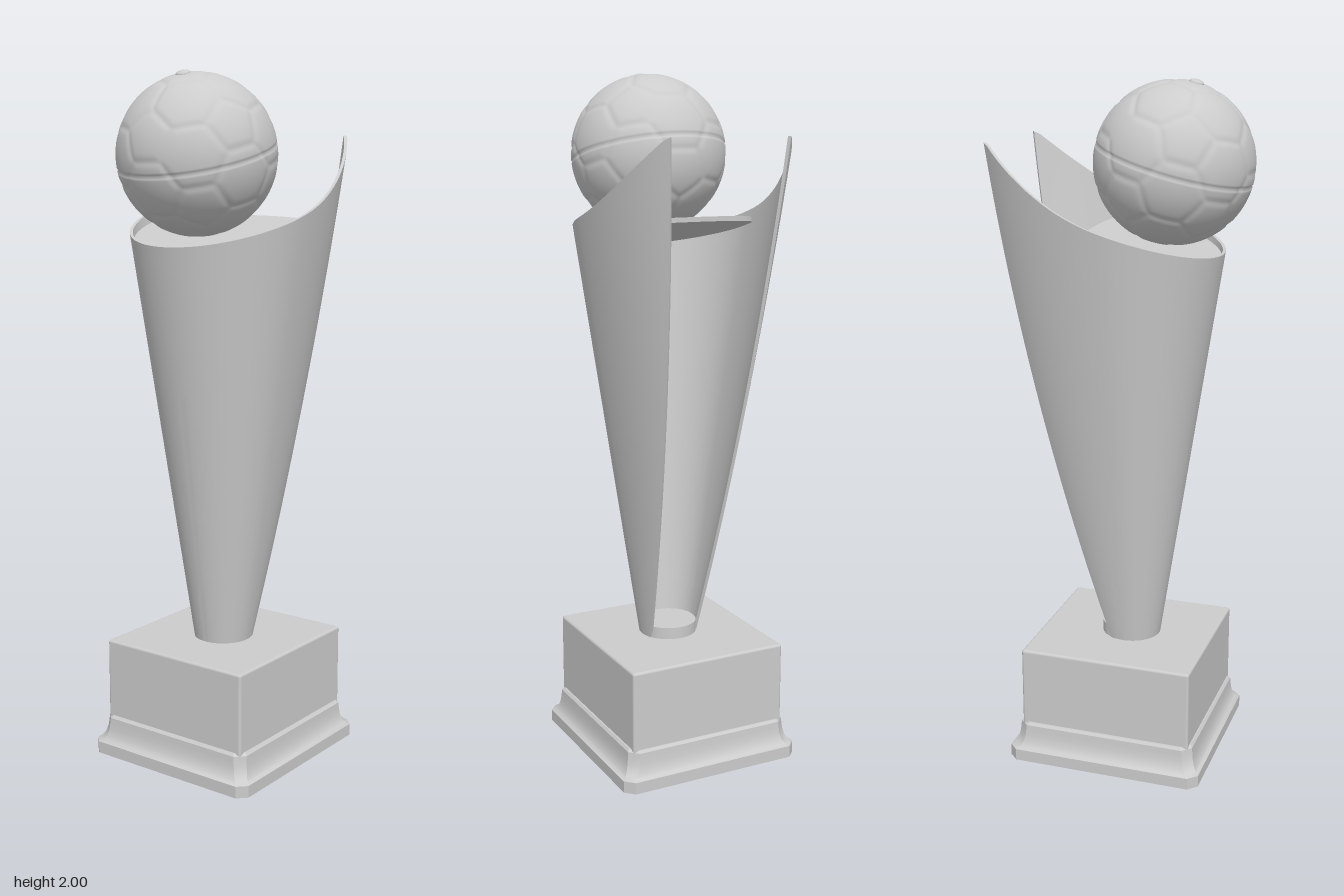
import * as THREE from 'three';
import { mergeVertices, toCreasedNormals } from 'three/addons/utils/BufferGeometryUtils.js';
import { RoundedBoxGeometry } from 'three/addons/geometries/RoundedBoxGeometry.js';

const grey = new THREE.MeshStandardMaterial({ color: 0xcccccc });
const greyThin = new THREE.MeshStandardMaterial({ color: 0xcccccc, side: THREE.DoubleSide });
const TILT = 0.27; // lean of the ball and its seat, radians

function part(parent, name, geometry, material = grey) {
  const mesh = new THREE.Mesh(geometry, material);
  mesh.name = name;
  parent.add(mesh);
  return mesh;
}

// Joins rows of points into a surface; every row has the same length
function loft(rows, crease) {
  const pos = [], index = [], n = rows[0].length;
  rows.forEach((row) => row.forEach((p) => pos.push(...p)));
  for (let i = 0; i < rows.length - 1; i++) {
    for (let j = 0; j < n - 1; j++) {
      const a = i * n + j, b = a + 1, c = a + n, d = c + 1;
      index.push(a, b, d, a, d, c);
    }
  }
  const g = new THREE.BufferGeometry();
  g.setAttribute('position', new THREE.Float32BufferAttribute(pos, 3));
  g.setIndex(index);
  return toCreasedNormals(g, crease);
}

// Moulded foot: stacked rectangles with cut corners
function footGeometry() {
  const profile = [[0.3, 0], [0, 0], [0, 0.035], [0.01, 0.042], [0.018, 0.055],
    [0.023, 0.075], [0.025, 0.095], [0.026, 0.108], [0.032, 0.115], [0.06, 0.115]];
  const rows = profile.map(([inset, y]) => {
    const x = Math.max(0.295 - inset, 0), z = Math.max(0.282 - inset, 0);
    const c = Math.min(0.026, x, z);
    return [[x, z - c], [x - c, z], [c - x, z], [-x, z - c], [-x, c - z],
      [c - x, -z], [x - c, -z], [x, c - z], [x, z - c]].map(([px, pz]) => [px, y, pz]).reverse();
  });
  return loft(rows, 0.45);
}

// Cup wall: a cone opened towards +x whose two wings flare outwards
const CX = -0.015, Y0 = 0.35, WALL = 0.009;
function wallPoint(u, y, inner) {
  const s = (y - Y0) / 1.48;
  const b = 0.086 + 0.222 * s;               // depth radius
  const edgeX = 0.028 + 0.472 * s - 0.145 * s * s;
  const edgeZ = 0.078 + 0.102 * s;
  const edgeAngle = Math.asin(edgeZ / b);
  const a = (edgeX - CX) / Math.cos(edgeAngle); // length radius of the wings
  const t = Math.PI - Math.abs(u) * (Math.PI - edgeAngle);
  const cos = Math.cos(t), sin = Math.sin(t) * Math.sign(u);
  const rx = cos > 0 ? a : b;
  const nrm = new THREE.Vector2(cos / rx, sin / b).normalize().multiplyScalar(inner ? WALL : 0);
  return [CX + rx * cos - nrm.x, y, b * sin - nrm.y];
}
function rimHeight(u) {
  let y = 1.6;
  for (let i = 0; i < 14; i++) {
    const x = wallPoint(u, y, false)[0];
    y = Math.min(1.53 + 0.31 * (x + 0.27) + 0.9 * Math.max(0, x) ** 2, 1.832);
  }
  return y;
}
function cupGeometry() {
  const NU = 96, NV = 40, rows = [];
  for (let i = 0; i <= NU; i++) {
    const u = (i / NU) * 2 - 1, top = rimHeight(u), outer = [], inner = [];
    for (let j = 0; j <= NV; j++) {
      const y = Y0 + (j / NV) * (top - Y0);
      outer.push(wallPoint(u, y, false));
      inner.push(wallPoint(u, y, true));
    }
    const loop = [...outer, ...inner.reverse(), outer[0]];
    // Close the free edge of each wing
    const cap = [...outer, ...[...outer].reverse(), outer[0]];
    if (i === 0) rows.push(cap);
    rows.push(loop);
    if (i === NU) rows.push(cap);
  }
  return loft(rows, 0.6);
}

// Sloping seat plate inside the cup
function seatGeometry() {
  const pts = [];
  for (let i = 0; i < 96; i++) {
    const t = (i / 96) * Math.PI * 2, c = Math.cos(t);
    pts.push(new THREE.Vector2(CX + (c > 0 ? 0.085 * c ** 0.35 : 0.25 * c), 0.258 * Math.sin(t)));
  }
  const g = new THREE.ExtrudeGeometry(new THREE.Shape(pts), { depth: 0.014, bevelEnabled: false });
  g.rotateX(-Math.PI / 2);
  const p = g.attributes.position;
  for (let i = 0; i < p.count; i++) p.setY(i, p.getY(i) + 1.497 + 0.275 * (p.getX(i) + 0.27));
  g.computeVertexNormals();
  return toCreasedNormals(g, 0.6);
}

// Ball with pressed seams between pentagon and hexagon panels
function ballGeometry(radius) {
  const pent = [new THREE.Vector3(0, 1, 0), new THREE.Vector3(0, -1, 0)];
  for (let k = 0; k < 10; k++) {
    const a = Math.PI + (k * Math.PI) / 5, r = 2 / Math.sqrt(5);
    pent.push(new THREE.Vector3(r * Math.cos(a), (k % 2 ? -1 : 1) / Math.sqrt(5), r * Math.sin(a)));
  }
  const panels = pent.map((v) => v.clone().divideScalar(2.327));
  const near = (a, b) => a.dot(b) > 0.4;
  for (let i = 0; i < 12; i++) for (let j = i + 1; j < 12; j++) for (let k = j + 1; k < 12; k++) {
    if (near(pent[i], pent[j]) && near(pent[j], pent[k]) && near(pent[i], pent[k])) {
      panels.push(pent[i].clone().add(pent[j]).add(pent[k]).normalize().divideScalar(2.267));
    }
  }
  let g = new THREE.SphereGeometry(1, 200, 120);
  g.deleteAttribute('uv');
  g.deleteAttribute('normal');
  g = mergeVertices(g, 1e-5);
  const p = g.attributes.position, d = new THREE.Vector3();
  for (let i = 0; i < p.count; i++) {
    d.fromBufferAttribute(p, i).normalize();
    let first = -1, second = -1;
    for (const n of panels) {
      const v = d.dot(n);
      if (v > first) { second = first; first = v; } else if (v > second) second = v;
    }
    const seam = Math.exp(-(((first - second) / 0.012) ** 2));
    const joint = Math.abs(d.y) < 0.005 ? 0.02 : 0; // line where the two halves meet
    d.multiplyScalar(radius * (1 - 0.012 * seam - joint));
    p.setXYZ(i, d.x, d.y, d.z);
  }
  g.computeVertexNormals();
  return g;
}

export function createModel() {
  const model = new THREE.Group();
  model.name = 'trophy';

  // Plinth
  const plinth = new THREE.Group();
  plinth.name = 'plinth';
  plinth.position.x = -0.004;
  model.add(plinth);
  part(plinth, 'foot', footGeometry());
  part(plinth, 'block', new RoundedBoxGeometry(0.518, 0.25, 0.49, 3, 0.008)).position.y = 0.225;

  // Cup
  part(model, 'cupWall', cupGeometry(), greyThin);
  part(model, 'collar', new THREE.CylinderGeometry(0.084, 0.084, 0.036, 48)).position.set(-0.009, 0.367, 0);
  part(model, 'seatPlate', seatGeometry());

  // Ball with its fixing bolt, leaning together
  const ball = new THREE.Group();
  ball.name = 'ballAssembly';
  ball.position.set(-0.135, 1.775, 0);
  ball.rotation.z = TILT;
  model.add(ball);
  part(ball, 'ball', ballGeometry(0.225));
  const cap = part(ball, 'topPin', new THREE.SphereGeometry(0.021, 24, 16));
  cap.scale.y = 0.45;
  cap.position.y = 0.224;
  part(ball, 'boltShank', new THREE.CylinderGeometry(0.011, 0.011, 0.1, 20)).position.y = -0.255;
  part(ball, 'boltNut', new THREE.CylinderGeometry(0.021, 0.021, 0.018, 20)).position.y = -0.246;

  return model;
}
